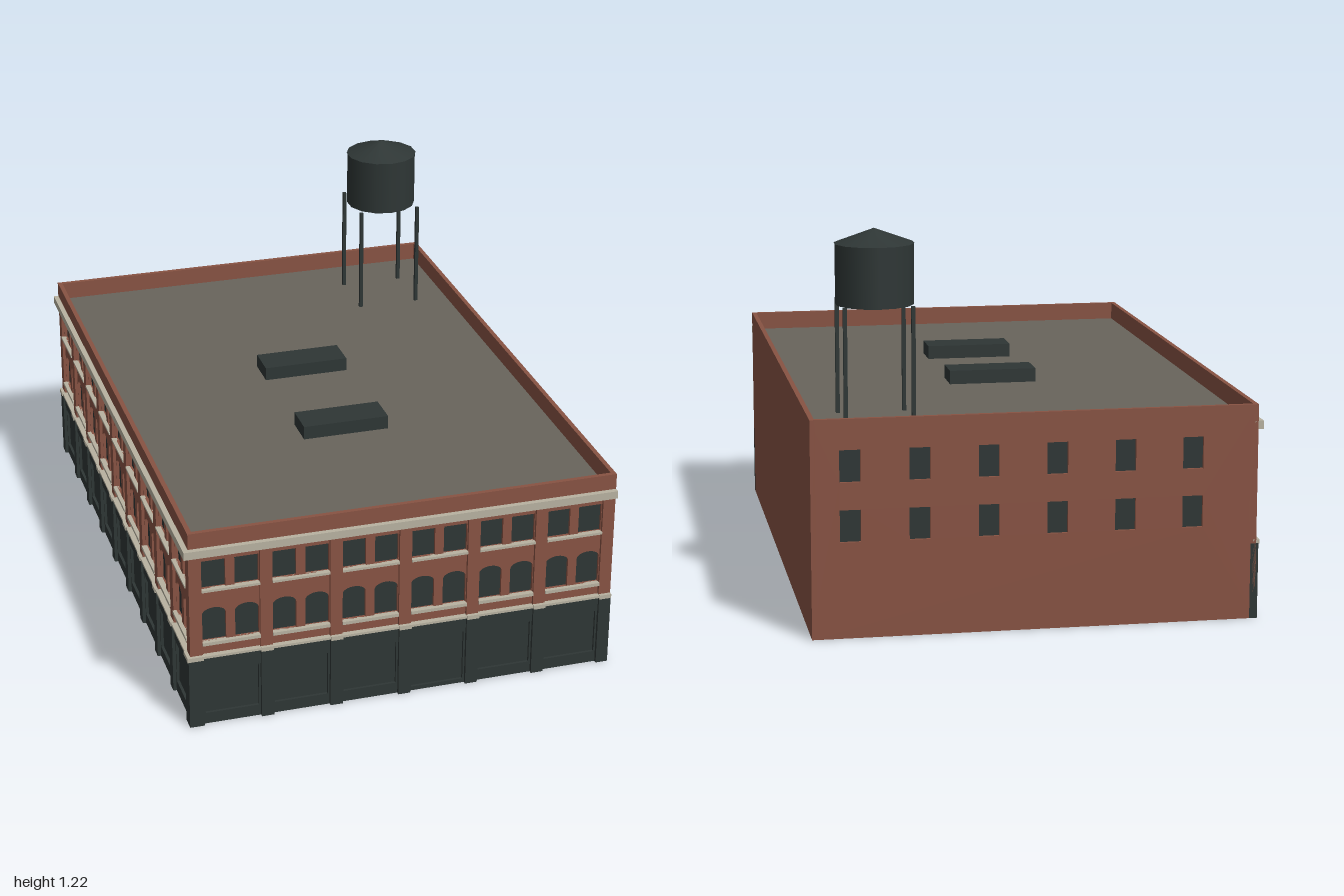
import * as THREE from 'three';

const mat = (name, color) => {
  const m = new THREE.MeshStandardMaterial({ color });
  m.name = name;
  return m;
};

export function createModel() {
  const brick = mat('brick', 0x885343);
  const dark = mat('darkIron', 0x2e3635);
  const cream = mat('stoneTrim', 0xb8b2a1);
  const tar = mat('roofTar', 0x68645c);

  const add = (parent, name, geometry, material) => {
    const mesh = new THREE.Mesh(geometry, material);
    mesh.name = name;
    parent.add(mesh);
    return mesh;
  };
  // box given by its minimum and maximum corners
  const box = (parent, name, material, x0, x1, y0, y1, z0, z1) =>
    add(parent, name, new THREE.BoxGeometry(x1 - x0, y1 - y0, z1 - z0), material)
      .position.set((x0 + x1) / 2, (y0 + y1) / 2, (z0 + z1) / 2);

  // opening outline, with a low curved head when rise > 0
  const outline = (Type, x0, x1, y0, y1, rise = 0) => {
    const p = new Type();
    const c = (x0 + x1) / 2, r = (x1 - x0) / 2;
    p.moveTo(x0, y0);
    p.lineTo(x1, y0);
    p.lineTo(x1, y1 - rise);
    if (rise) p.absellipse(c, y1 - rise, r, rise, 0, Math.PI, false);
    else p.lineTo(x0, y1);
    p.closePath();
    return p;
  };

  // flat wall pierced by openings, each filled with a recessed panel
  const piercedWall = (parent, name, material, fillName, x0, x1, y0, y1, z0, z1, openings) => {
    const wall = outline(THREE.Shape, x0, x1, y0, y1);
    const fills = [];
    for (const o of openings) {
      wall.holes.push(outline(THREE.Path, ...o));
      fills.push(outline(THREE.Shape, ...o));
    }
    const extrude = (s, depth) =>
      new THREE.ExtrudeGeometry(s, { depth, bevelEnabled: false, curveSegments: 10 });
    add(parent, name, extrude(wall, z1 - z0), material).position.z = z0;
    add(parent, fillName, extrude(fills, 0.004), dark).position.z = z0 + 0.001;
  };

  // street facade: local x runs 0..length, pilaster faces lie on z = 0;
  // e0 and e1 (0 or 1) let the trim wrap the street corner
  const facade = (name, length, bays, doorBay, e0, e1) => {
    const g = new THREE.Group();
    g.name = name;
    const pw = 0.04, pitch = (length - pw) / bays, ww = (pitch - pw) * 0.41;
    const windows = [], shopPanels = [];
    for (let i = 0; i <= bays; i++) {
      const p = i * pitch;
      const a = i === 0 ? e0 : 0, b = i === bays ? e1 : 0;
      box(g, 'brickPilaster', brick, p, p + pw, 0.24, 0.6, -0.015, 0);
      box(g, 'shopPilaster', dark, p - 0.007 * a, p + pw + 0.007 * b, 0, 0.24, -0.015, 0.007);
      box(g, 'pilasterBlock', cream, p - 0.011 * a, p + pw + 0.011 * b, 0.238, 0.252, -0.01, 0.011);
      if (i === bays) break;
      const l = p + pw, r = p + pitch;
      // a pair of windows on each upper floor
      for (const x of [l + 0.002, r - ww - 0.002]) {
        windows.push([x, x + ww, 0.295, 0.41, 0.022]);
        windows.push([x, x + ww, 0.48, 0.575]);
      }
      box(g, 'windowSill', cream, l, r, 0.284, 0.295, -0.015, 0.003);
      box(g, 'windowSill', cream, l, r, 0.472, 0.48, -0.015, 0.003);
      // shop front panel inside a slim raised frame
      const bottom = i === doorBay ? 0.014 : 0.038;
      shopPanels.push([l + 0.006, r - 0.006, bottom, 0.188]);
      box(g, 'shopLintel', dark, l, r, 0.19, 0.24, -0.015, -0.001);
    }
    piercedWall(g, 'brickWall', brick, 'windowPanes', 0, length, 0.24, 0.6, -0.025, -0.01, windows);
    piercedWall(g, 'shopWall', dark, 'shopPanels', 0, length, 0, 0.24, -0.018, -0.004, shopPanels);
    box(g, 'headBand', brick, 0, length, 0.588, 0.6, -0.015, -0.004);
    box(g, 'parapet', brick, 0, length, 0.6, 0.68, -0.015, 0);
    const trim = (label, y0, y1, d) =>
      box(g, label, cream, -d * e0, length + d * e1, y0, y1, -0.012, d);
    trim('beltCourse', 0.242, 0.25, 0.008);
    trim('cornice', 0.602, 0.628, 0.017);
    return g;
  };

  const model = new THREE.Group();
  model.name = 'warehouse';

  // two street facades meeting at the front corner
  const front = facade('frontFacade', 1.385, 6, 3, 1, 0);
  front.position.set(-0.685, 0, 0.983);
  model.add(front);
  const side = facade('sideFacade', 1.983, 9, -1, 0, 1);
  side.position.set(-0.685, 0, -1);
  side.rotation.y = -Math.PI / 2;
  model.add(side);

  // plain party wall
  box(model, 'partyWall', brick, 0.685, 0.7, 0, 0.68, -1, 0.983);

  // rear wall with two rows of small windows
  const rear = new THREE.Group();
  rear.name = 'rearWall';
  const rearWindows = [];
  for (let i = 0; i < 6; i++) {
    const x = -0.58 + i * 0.212;
    for (const y of [0.3, 0.485]) rearWindows.push([x - 0.032, x + 0.032, y, y + 0.1]);
  }
  piercedWall(rear, 'rearBrick', brick, 'rearPanes', -0.7, 0.685, 0, 0.68, -0.015, 0, rearWindows);
  rear.rotation.y = Math.PI;
  rear.position.z = -1;
  model.add(rear);

  // roof deck and skylights
  box(model, 'roof', tar, -0.672, 0.688, 0.61, 0.62, -0.988, 0.97);
  for (const z of [-0.163, 0.305])
    box(model, 'skylight', dark, -0.14, 0.148, 0.6, 0.665, z - 0.057, z + 0.057);

  // rooftop water tank on four legs
  const tank = new THREE.Group();
  tank.name = 'waterTank';
  tank.position.set(0.464, 0, -0.717);
  for (const x of [-0.105, 0.105])
    for (const z of [-0.105, 0.105])
      box(tank, 'tankLeg', dark, x - 0.006, x + 0.006, 0.61, 0.985, z - 0.006, z + 0.006);
  add(tank, 'tankBody', new THREE.CylinderGeometry(0.122, 0.122, 0.19, 14), dark).position.y = 1.075;
  add(tank, 'tankRoof', new THREE.ConeGeometry(0.125, 0.046, 14), dark).position.y = 1.192;
  model.add(tank);

  return model;
}
